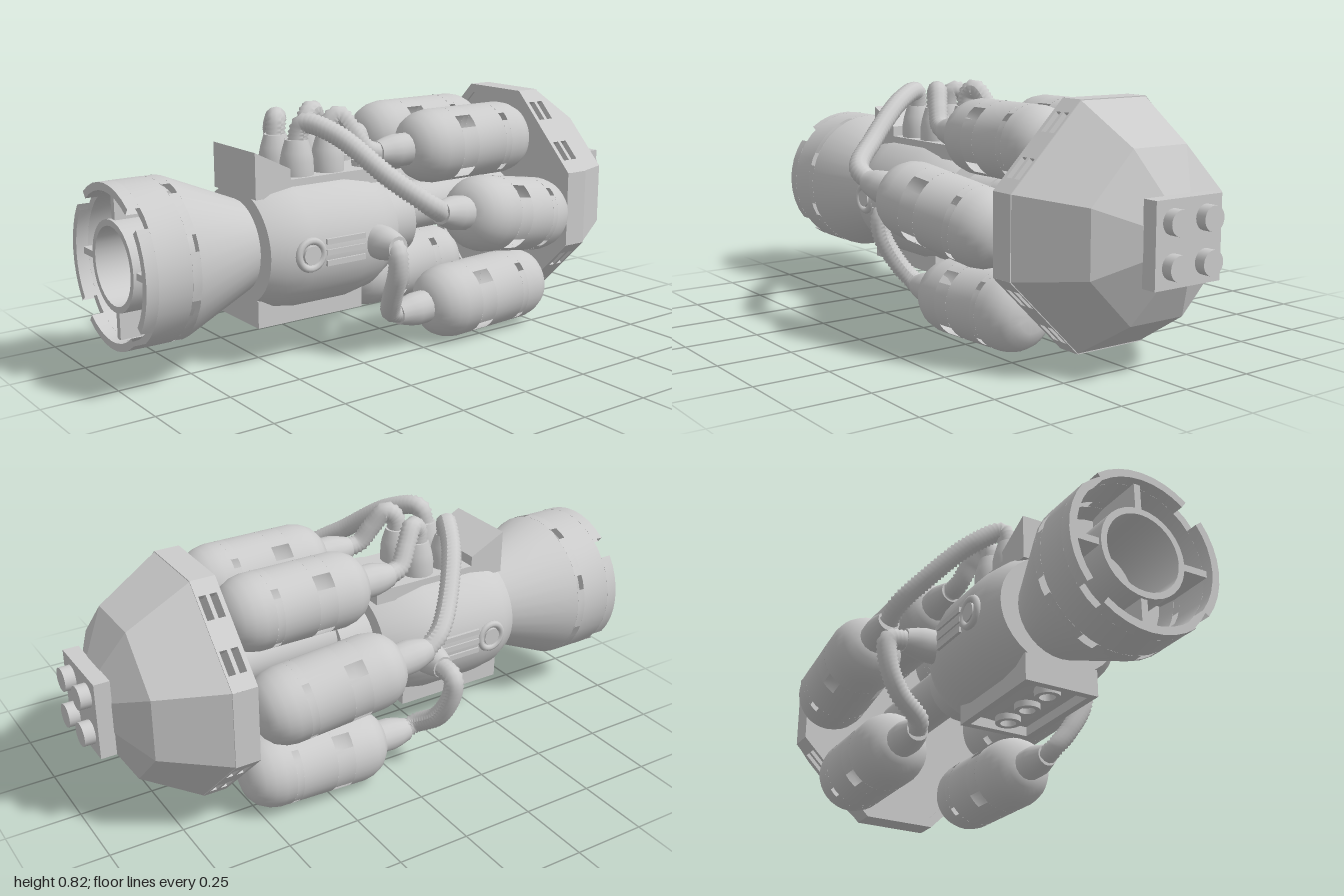
import * as THREE from 'three';
import { toCreasedNormals, mergeGeometries } from 'three/addons/utils/BufferGeometryUtils.js';

const CZ = -0.03;              // centre plane
const CAP_Y = 0.425, BODY_Y = 0.39; // axes of the nose cap and of the body, along x
const X = new THREE.Vector3(1, 0, 0);
const V = (x, y, z) => new THREE.Vector3(x, y, z);
const mat = new THREE.MeshStandardMaterial({ color: 0xcccccc, side: THREE.DoubleSide });

function add(parent, name, geo, x = 0, y = 0, z = 0) {
  const m = new THREE.Mesh(geo, mat);
  m.name = name;
  m.position.set(x, y, z);
  parent.add(m);
  return m;
}

// Surface turned about the x axis; points are [x, radius]
function turned(pts, seg = 32, start = 0, arc = Math.PI * 2) {
  const g = new THREE.LatheGeometry(pts.map(([x, r]) => new THREE.Vector2(r, x)), seg, start, arc);
  return toCreasedNormals(g.rotateZ(-Math.PI / 2), 0.6);
}

// Turned band interrupted by evenly spaced gaps
function gapped(pts, count, gap, offset) {
  const step = Math.PI * 2 / count;
  const arcs = [];
  for (let i = 0; i < count; i++) arcs.push(turned(pts, Math.ceil(32 / count), offset + i * step + gap / 2, step - gap));
  return mergeGeometries(arcs);
}

const points = list => list.map(q => new THREE.Vector2(...q));
const box = (w, h, d) => new THREE.BoxGeometry(w, h, d);
const cylinder = (r, h) => new THREE.CylinderGeometry(r, r, h, 24);
const extrude = (shape, depth) => new THREE.ExtrudeGeometry(shape, { depth, bevelEnabled: false });

// Hose socket, base at x = 0, pointing along +x
const socket = () => turned([[0, 0], [0, 0.056], [0.05, 0.056], [0.08, 0.05], [0.12, 0.038], [0.12, 0]], 16);

// Ribbed flexible hose through the given points
function hose(parent, path) {
  const curve = new THREE.CatmullRomCurve3(path);
  const rings = Math.round(curve.getLength() / 0.007), sides = 12;
  const g = new THREE.TubeGeometry(curve, rings, 0.033, sides);
  const p = g.attributes.position, v = V(0, 0, 0);
  for (let i = 0; i <= rings; i++) {
    const c = curve.getPointAt(i / rings);
    for (let j = 0; j <= sides; j++) {
      const k = i * (sides + 1) + j;
      v.fromBufferAttribute(p, k).sub(c).multiplyScalar(i % 2 ? 1.05 : 0.88).add(c);
      p.setXYZ(k, v.x, v.y, v.z);
    }
  }
  g.computeVertexNormals();
  add(parent, 'hose', g);
}

// Capsule tank from a to b with window cut-outs and a hose neck; returns the neck tip
function tank(parent, a, b) {
  const dir = b.clone().sub(a).normalize();
  const g = new THREE.Group();
  g.name = 'tank';
  g.position.copy(a);
  g.quaternion.setFromUnitVectors(X, dir);
  const r = 0.126;
  const end = [[0, 0], [0, 0.05], [0.012, 0.08], [0.035, 0.104], [0.065, 0.119], [0.1, r]];
  add(g, 'tankRearEnd', turned([...end, [0.16, r]]));
  add(g, 'tankWindowBand', gapped([[0.16, r], [0.225, r]], 4, 0.4, Math.PI / 4));
  add(g, 'tankMiddle', turned([[0.225, r], [0.35, r]]));
  add(g, 'tankSlotBand', gapped([[0.35, r], [0.375, r]], 4, 0.25, Math.PI / 4));
  add(g, 'tankFrontEnd', turned([[0.375, r], ...end.map(([x, q]) => [0.51 - x, q]).reverse()]));
  add(g, 'tankNeck', socket(), 0.005).rotation.y = Math.PI;
  parent.add(g);
  return a.clone().addScaledVector(dir, -0.105);
}

function nozzle(root) {
  const g = new THREE.Group();
  g.name = 'nozzle';
  g.position.set(0, BODY_Y, CZ);
  const q = Math.PI / 4, ri = 0.235, ro = 0.26;
  const ring = (a, b) => [[a, ri], [a, ro], [b, ro], [b, ri], [a, ri]];
  add(g, 'notchedRim', gapped(ring(-1, -0.96), 4, 0.28, q));
  add(g, 'nozzleWall', turned(ring(-0.96, -0.85)));
  add(g, 'slottedBand', gapped(ring(-0.85, -0.82), 8, 0.2, q / 2));
  add(g, 'nozzleCone', turned([[-0.82, ri], [-0.82, ro], [-0.81, ro], [-0.555, 0.153], [-0.5, 0.153]]));
  add(g, 'nozzleFloor', turned([[-0.76, 0], [-0.76, 0.225], [-0.82, ri]]));
  add(g, 'innerTube', turned([[-0.76, 0.125], [-0.985, 0.125], [-0.985, 0.145], [-0.76, 0.145]]));
  for (let i = 0; i < 4; i++) {
    const a = i * Math.PI / 2;
    add(g, 'spoke', box(0.21, 0.1, 0.022), -0.87, 0.19 * Math.cos(a), 0.19 * Math.sin(a)).rotation.x = a;
  }
  root.add(g);
}

function body(root) {
  const g = new THREE.Group();
  g.name = 'body';
  // Slightly squat barrel with its top pressed flat
  const barrel = turned([[-0.555, 0], [-0.555, 0.215], [-0.5, 0.243], [-0.42, 0.255], [-0.22, 0.255],
    [-0.12, 0.235], [-0.035, 0.185], [-0.035, 0]], 40);
  const p = barrel.attributes.position;
  for (let i = 0; i < p.count; i++) p.setY(i, Math.min(p.getY(i) * 0.9, 0.205));
  barrel.deleteAttribute('normal');
  add(g, 'barrel', toCreasedNormals(barrel, 0.6), 0, BODY_Y, CZ);
  add(g, 'collar', turned([[-0.04, 0.122], [0.09, 0.122], [0.09, 0]]), 0, BODY_Y, CZ);
  add(g, 'axle', turned([[0.08, 0.085], [0.6, 0.085]]), 0, CAP_Y, CZ);
  add(g, 'topPlate', box(0.52, 0.05, 0.26), -0.295, 0.585, CZ);

  // Sloped fin at the rear of the top
  const slope = new THREE.Shape(points([[-0.555, 0.61], [-0.425, 0.61], [-0.425, 0.645], [-0.555, 0.71]]));
  add(g, 'slope', extrude(slope, 0.26), 0, 0, CZ - 0.13);

  // Recessed bottom plate with tubes
  const frame = new THREE.Shape(points([[-0.555, -0.13], [-0.15, -0.13], [-0.15, 0.13], [-0.555, 0.13]]));
  frame.holes.push(new THREE.Path(points([[-0.53, -0.105], [-0.53, 0.105], [-0.175, 0.105], [-0.175, -0.105]])));
  add(g, 'bottomFrame', extrude(frame, 0.09).rotateX(-Math.PI / 2), 0, 0.14, CZ);
  add(g, 'bottomRecess', box(0.38, 0.02, 0.24), -0.3525, 0.182, CZ);
  for (let i = 0; i < 3; i++) {
    const tube = turned([[0.03, 0], [0.03, 0.026], [0, 0.026], [0, 0.042], [0.04, 0.042]], 20).rotateZ(Math.PI / 2);
    add(g, 'bottomTube', tube, -0.47 + i * 0.118, 0.142, CZ);
  }

  for (const side of [1, -1]) {
    const z = d => CZ + side * d;
    add(g, 'topStud', cylinder(0.036, 0.03), -0.1, 0.615, z(0.065));
    add(g, 'sideRing', new THREE.TorusGeometry(0.045, 0.012, 8, 24), -0.43, 0.39, z(0.25));
    add(g, 'sideBoss', cylinder(0.03, 0.04).rotateX(Math.PI / 2), -0.43, 0.39, z(0.24));
    for (let i = 0; i < 3; i++) add(g, 'grilleBar', box(0.15, 0.018, 0.03), -0.3, 0.355 + i * 0.035, z(0.245));
    add(g, 'sideSocket', socket(), -0.16, 0.39, z(0.225)).rotation.y = -side * Math.PI / 2;
    for (const x of [-0.36, -0.24]) add(g, 'topSocket', socket(), x, 0.605, z(0.065)).rotation.z = Math.PI / 2;
  }
  root.add(g);
}

function noseCap(root) {
  const g = new THREE.Group();
  g.name = 'noseCap';
  g.position.set(0, CAP_Y, CZ);
  const octagon = (h, f) => [[f, h], [h, f], [h, -f], [f, -h], [-f, -h], [-h, -f], [-h, f], [-f, h]];

  // Faceted dome through octagonal sections
  const rings = [[0.63, 0.39, 0.13], [0.84, 0.262, 0.105], [0.917, 0.125, 0.05]]
    .map(([x, h, f]) => octagon(h, f).map(([z, y]) => [x, y, z]));
  const pos = [];
  for (let r = 0; r < 2; r++) for (let i = 0; i < 8; i++) {
    const j = (i + 1) % 8, a = rings[r][i], b = rings[r][j], c = rings[r + 1][j], d = rings[r + 1][i];
    pos.push(...a, ...c, ...b, ...a, ...d, ...c);
  }
  const dome = new THREE.BufferGeometry();
  dome.setAttribute('position', new THREE.Float32BufferAttribute(pos, 3));
  dome.computeVertexNormals();
  add(g, 'dome', dome);

  // Rim panels; the slanted ones carry slots
  for (let i = 0; i < 8; i++) {
    const slanted = i % 2, w = slanted ? 0.184 : 0.13, apothem = slanted ? 0.3677 : 0.39;
    const s = new THREE.Shape(points([[0.55, -w], [0.635, -w], [0.635, w], [0.55, w]]));
    if (slanted) for (const y of [-0.13, 0.05]) for (const x of [0.565, 0.602]) {
      s.holes.push(new THREE.Path(points([[x, y], [x, y + 0.08], [x + 0.024, y + 0.08], [x + 0.024, y]])));
    }
    add(g, 'rimPanel', extrude(s, 0.03).translate(0, 0, apothem - 0.03)).rotation.x = i * Math.PI / 4;
  }
  const back = new THREE.Shape(points(octagon(0.375, 0.125)));
  add(g, 'backPlate', new THREE.ShapeGeometry(back).rotateY(Math.PI / 2), 0.558);

  add(g, 'frontPlate', box(0.052, 0.26, 0.26), 0.938);
  for (const y of [-0.065, 0.065]) for (const z of [-0.065, 0.065])
    add(g, 'frontStud', cylinder(0.039, 0.04).rotateZ(Math.PI / 2), 0.98, y, z);
  root.add(g);
}

export function createModel() {
  const root = new THREE.Group();
  root.name = 'rocketEngine';
  nozzle(root);
  body(root);
  noseCap(root);

  // Three tanks on each side: upper, middle and lower, each fed by a hose
  for (const s of [1, -1]) {
    const z = d => CZ + s * d, front = s > 0;
    const upper = tank(root, V(0.03, 0.66, z(0.132)), V(0.54, 0.66, z(0.132)));
    hose(root, [V(-0.24, 0.71, z(0.065)), V(-0.235, 0.765, z(0.068)), V(-0.205, 0.79, z(0.08)),
      V(-0.165, 0.735, z(0.105)), V(-0.125, 0.675, z(0.125)), upper]);

    const middle = front ? tank(root, V(0.04, 0.492, 0.392), V(0.54, 0.4, 0.285))
      : tank(root, V(0.03, 0.475, -0.388), V(0.54, 0.415, -0.36));
    const bends = front ? [V(-0.29, 0.75, 0.155), V(-0.2, 0.625, 0.325), V(-0.125, 0.55, 0.42)]
      : [V(-0.3, 0.725, -0.205), V(-0.2, 0.6, -0.33), V(-0.13, 0.53, -0.385)];
    hose(root, [V(-0.36, 0.71, z(0.065)), V(-0.345, 0.775, z(0.08)), ...bends, middle]);

    const lower = front ? tank(root, V(0.03, 0.133, 0.212), V(0.54, 0.145, 0.2))
      : tank(root, V(0.03, 0.126, -0.278), V(0.54, 0.138, -0.265));
    const out = front ? 0 : 0.055; // the rear hose swings wider
    hose(root, [V(-0.16, 0.39, z(0.325)), V(-0.162, 0.375, z(0.345 + out)), V(-0.16, 0.31, z(0.345 + out)),
      V(-0.145, 0.21, z(0.295 + out)), V(-0.115, 0.145, z(0.25 + out / 4)), lower]);
  }
  return root;
}
